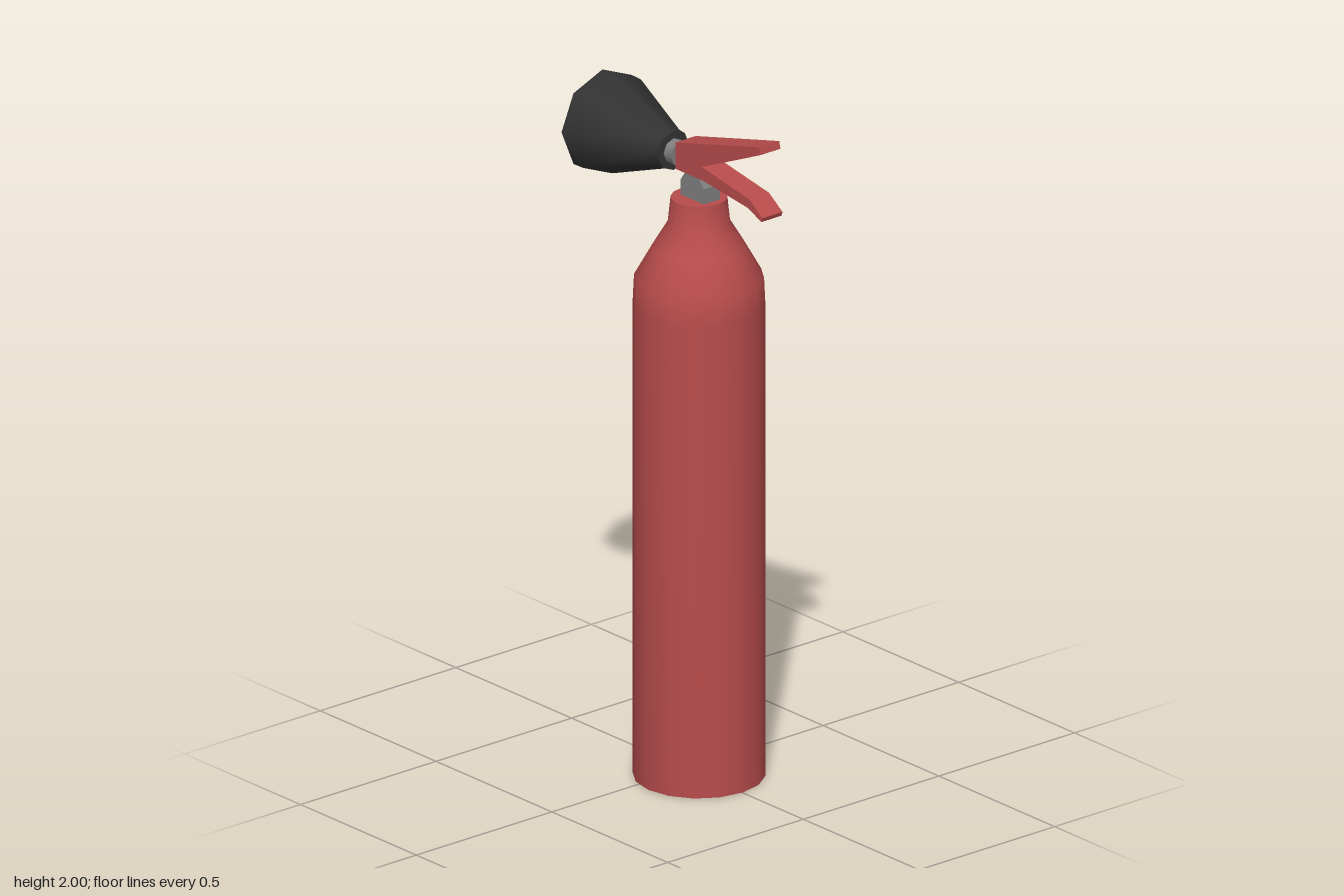
import * as THREE from 'three';
import { toCreasedNormals } from 'three/addons/utils/BufferGeometryUtils.js';

const red = new THREE.MeshStandardMaterial({ color: 0xb84c4c });
const black = new THREE.MeshStandardMaterial({ color: 0x333333, side: THREE.DoubleSide });
const grey = new THREE.MeshStandardMaterial({ color: 0x808080 });

const vectors = (points) => points.map(([a, b]) => new THREE.Vector2(a, b));

// Turned part from [radius, height] points
const turned = (points, sides) =>
  toCreasedNormals(new THREE.LatheGeometry(vectors(points), sides), 0.9);

// Side profile of [z, y] points, extruded across x
function sideProfile(points, width) {
  const geometry = new THREE.ExtrudeGeometry(new THREE.Shape(vectors(points)), {
    depth: width, bevelEnabled: false,
  });
  return geometry.translate(0, 0, -width / 2).rotateY(-Math.PI / 2);
}

export function createModel() {
  const model = new THREE.Group();
  const add = (name, geometry, material, y = 0, z = 0) => {
    const mesh = new THREE.Mesh(geometry, material);
    mesh.name = name;
    mesh.position.set(0, y, z);
    model.add(mesh);
  };

  // Tank with a recessed base, rounded shoulder and short neck
  add('tank', turned([
    [0, 0.06], [0.15, 0.03], [0.165, 0], [0.187, 0], [0.187, 1.42], [0.183, 1.505],
    [0.13, 1.6], [0.088, 1.67], [0.08, 1.745], [0, 1.745],
  ], 16), red, 0, 0.05);

  // Valve block with chamfered top
  add('valve', sideProfile([
    [0.005, 1.74], [0.105, 1.74], [0.105, 1.79], [0.08, 1.825], [0.03, 1.825], [0.005, 1.79],
  ], 0.06), grey);

  // Forked squeeze handle: upper lever and lower grip
  add('handle', sideProfile([
    [-0.008, 1.82], [0.11, 1.82], [0.305, 1.797], [0.362, 1.772], [0.367, 1.785],
    [0.31, 1.825], [0.105, 1.86], [0.358, 1.973], [0.353, 1.995], [-0.008, 1.9],
  ], 0.074), red);

  // Outlet stem and nut, running backwards
  const outlet = turned([
    [0, 0], [0.021, 0], [0.021, 0.028], [0.037, 0.028], [0.037, 0.065], [0, 0.065],
  ], 8).rotateX(-Math.PI / 2);
  add('outlet', outlet, grey, 1.85, 0);

  // Hollow discharge horn
  const horn = turned([
    [0, 0.06], [0.059, 0.06], [0.061, 0.085], [0.15, 0.325], [0.151, 0.367],
    [0.138, 0.367], [0.135, 0.325], [0.045, 0.1], [0, 0.1],
  ], 8).rotateX(-Math.PI / 2);
  add('horn', horn, black, 1.85, 0);

  return model;
}
